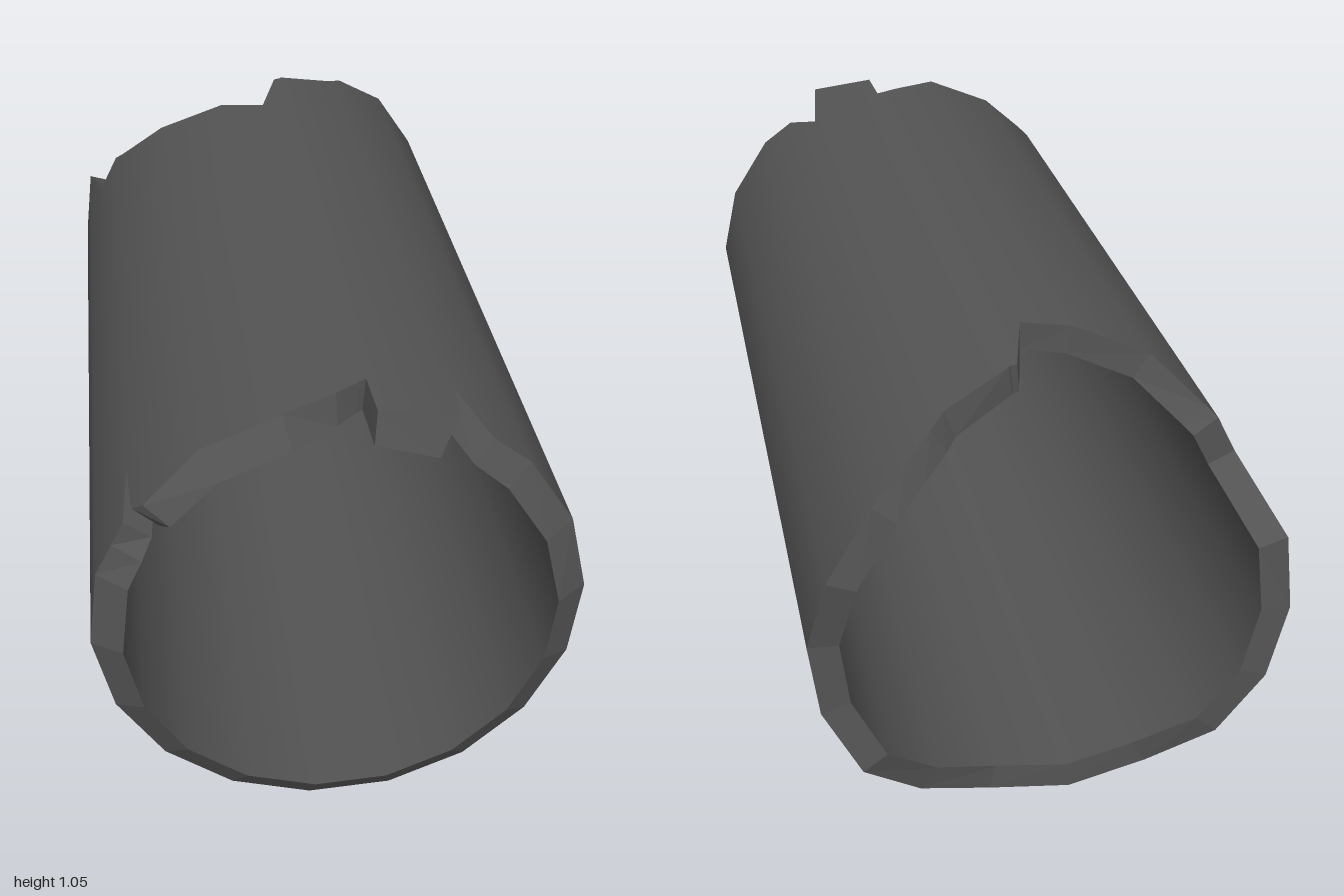
import * as THREE from 'three';

const CENTER_Y = 0.527, OUTER = 0.527, INNER = 0.46, SIDE = 20, PHASE = 3.3;

// Broken ends, column by column: angle, back z, outer front z, inner front z, outward bend of the front lip
const COLUMNS = [
  [3.3, -0.97, 0.955, 1.0, 0], [23.3, -1.0, 0.955, 0.99, 0], [43.3, -0.975, 0.955, 0.98, 0],
  [54, -0.92, 0.95, 0.96, 0], [62, -0.88, 0.83, 0.85, 0], [66, -0.84, 0.98, 1.0, 0.03],
  [83.3, -0.77, 0.98, 1.0, 0], [83.8, -0.765, 0.86, 0.87, 0], [85.5, -0.76, 0.87, 0.88, 0],
  [91, -0.58, 0.9, 0.92, 0], [103.3, -0.61, 0.955, 0.99, 0], [123.3, -0.64, 0.955, 0.99, 0],
  [140, -0.71, 0.98, 1.0, 0], [143.3, -0.73, 0.96, 0.97, 0], [145, -0.73, 0.81, 0.83, 0],
  [148, -0.73, 0.955, 0.96, 0], [154.5, -0.73, 0.955, 0.98, 0], [163.3, -0.97, 0.955, 0.99, 0],
  [183.3, -0.98, 0.955, 1.0, 0], [203.3, -0.99, 0.955, 1.0, 0], [223.3, -0.98, 0.955, 1.0, 0],
  [243.3, -0.93, 0.955, 1.0, 0], [263.3, -0.92, 0.955, 1.0, 0], [283.3, -0.9, 0.955, 1.0, 0],
  [303.3, -0.94, 0.955, 1.0, 0], [323.3, -0.99, 0.955, 1.0, 0], [343.3, -0.97, 0.955, 1.0, 0],
];

// Point on an 18-sided ring, so in-between columns stay on the flat sides
function ringPoint(deg, radius, z, lift = 0) {
  const along = (((deg - PHASE) % SIDE) + SIDE) % SIDE;
  const half = THREE.MathUtils.degToRad(SIDE / 2);
  const r = radius * Math.cos(half) / Math.cos(THREE.MathUtils.degToRad(along) - half) + lift;
  const a = THREE.MathUtils.degToRad(deg);
  return [r * Math.cos(a), CENTER_Y + r * Math.sin(a), z];
}

// Smooth wall: four rings from the back edge to the front edge
function wall(radius, facing) {
  const pos = [], nor = [], idx = [], n = COLUMNS.length;
  for (const [deg, back, frontOut, frontIn, lift] of COLUMNS) {
    const front = facing > 0 ? frontOut : frontIn;
    const a = THREE.MathUtils.degToRad(deg);
    [back, -0.5, 0.75, front].forEach((z, k) => {
      pos.push(...ringPoint(deg, radius, z, k === 3 && facing > 0 ? lift : 0));
      nor.push(facing * Math.cos(a), facing * Math.sin(a), 0);
    });
  }
  for (let j = 0; j < n; j++) {
    for (let k = 0; k < 3; k++) {
      const a = j * 4 + k, b = ((j + 1) % n) * 4 + k;
      if (facing > 0) idx.push(a, b, b + 1, a, b + 1, a + 1);
      else idx.push(a, b + 1, b, a, a + 1, b + 1);
    }
  }
  const g = new THREE.BufferGeometry();
  g.setAttribute('position', new THREE.Float32BufferAttribute(pos, 3));
  g.setAttribute('normal', new THREE.Float32BufferAttribute(nor, 3));
  g.setIndex(idx);
  return g;
}

// Faceted broken edge joining the two walls
function rim(isFront) {
  const pos = [], n = COLUMNS.length;
  const pair = ([deg, back, frontOut, frontIn, lift]) => [
    ringPoint(deg, OUTER, isFront ? frontOut : back, isFront ? lift : 0),
    ringPoint(deg, INNER, isFront ? frontIn : back),
  ];
  for (let j = 0; j < n; j++) {
    const [o1, i1] = pair(COLUMNS[j]), [o2, i2] = pair(COLUMNS[(j + 1) % n]);
    const corners = isFront ? [i1, o1, o2, i1, o2, i2] : [i1, o2, o1, i1, i2, o2];
    corners.forEach((p) => pos.push(...p));
  }
  const g = new THREE.BufferGeometry();
  g.setAttribute('position', new THREE.Float32BufferAttribute(pos, 3));
  g.computeVertexNormals();
  return g;
}

export function createModel() {
  const group = new THREE.Group();
  group.name = 'brokenPipe';
  const material = new THREE.MeshStandardMaterial({ color: 0x545454 });
  material.name = 'dark grey';
  const add = (name, geometry) => {
    const mesh = new THREE.Mesh(geometry, material);
    mesh.name = name;
    group.add(mesh);
  };
  add('outerWall', wall(OUTER, 1));
  add('innerWall', wall(INNER, -1));
  add('frontBrokenRim', rim(true));
  add('backBrokenRim', rim(false));
  return group;
}
